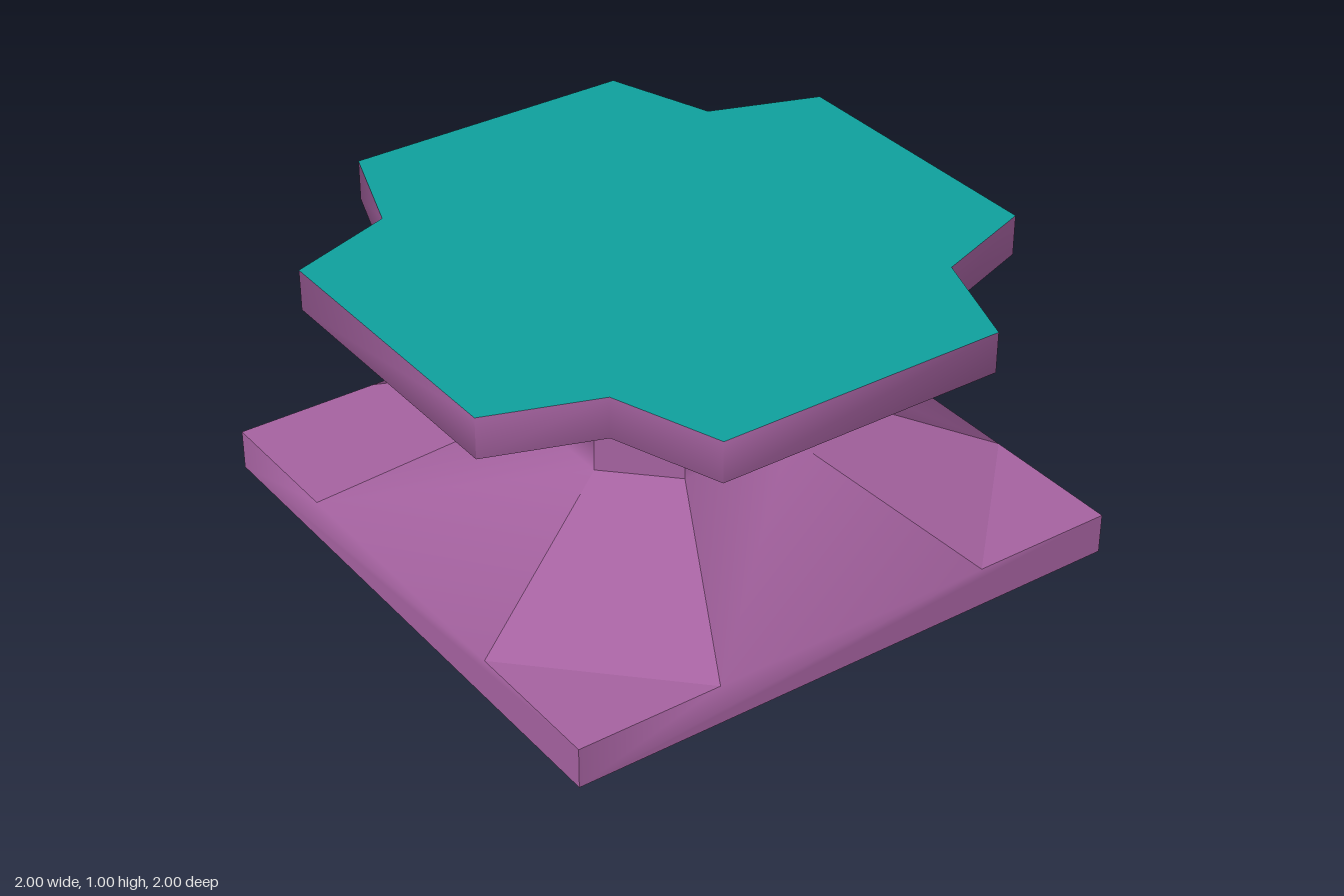
import * as THREE from 'three';
import { toCreasedNormals } from 'three/addons/utils/BufferGeometryUtils.js';

// Heights of the base rim, waist and table rim
const BASE = 0.14, WAIST_LOW = 0.42, WAIST_HIGH = 0.59, RIM = 0.86, TOP = 1;
// Half sizes: outer edge, flat part of an edge, notch corner, waist
const R = 1, H = 0.5, N = 0.63, W = 0.4, C = 0.2;

// Turns convex polygons into triangles, repeated on all four sides
function fourSided(polygons) {
  const pos = [];
  for (const poly of polygons) {
    for (let i = 1; i < poly.length - 1; i++) {
      pos.push(...poly[0], ...poly[i], ...poly[i + 1]);
    }
  }
  const all = [];
  for (let k = 0; k < 4; k++) {
    for (let i = 0; i < pos.length; i += 3) {
      let [x, y, z] = pos.slice(i, i + 3);
      for (let j = 0; j < k; j++) [x, z] = [z, -x];
      all.push(x, y, z);
    }
  }
  const g = new THREE.BufferGeometry();
  g.setAttribute('position', new THREE.Float32BufferAttribute(all, 3));
  g.computeVertexNormals();
  return g;
}

// Centred strip on the front side between two levels [half width, y, z]
const strip = ([a, y0, z0], [b, y1, z1]) => [[-a, y0, z0], [a, y0, z0], [b, y1, z1], [-b, y1, z1]];

export function createModel() {
  const group = new THREE.Group();
  const purple = new THREE.MeshStandardMaterial({ color: 0xa562a0 });
  const teal = new THREE.MeshStandardMaterial({ color: 0x0fa09c });
  const add = (name, geometry, material) => {
    const mesh = new THREE.Mesh(geometry, material);
    mesh.name = name;
    group.add(mesh);
  };

  // Base rim, sloped sides, waist and notched dish, softly shaded
  const body = fourSided([
    [[-R, 0, R], [R, 0, R], [R, BASE, R], [H, BASE, R], [-H, BASE, R], [-R, BASE, R]],
    strip([H, BASE, R], [C, WAIST_LOW, W]),
    strip([C, WAIST_LOW, W], [C, WAIST_HIGH, W]),
    strip([C, WAIST_HIGH, W], [H, RIM, R]),
    strip([H, RIM, R], [H, TOP, R]),
    // underside around the corner notch
    [[C, WAIST_HIGH, W], [N, RIM, N], [H, RIM, R]],
    [[C, WAIST_HIGH, W], [W, WAIST_HIGH, C], [N, RIM, N]],
    [[W, WAIST_HIGH, C], [R, RIM, H], [N, RIM, N]],
    // notch walls
    [[H, RIM, R], [N, RIM, N], [N, TOP, N], [H, TOP, R]],
    [[N, RIM, N], [R, RIM, H], [R, TOP, H], [N, TOP, N]],
  ]);
  add('body', toCreasedNormals(body, 1.25), purple);

  // Flat base corners, corner slopes and waist corners with sharp edges
  add('cornerFacets', fourSided([
    [[H, BASE, R], [R, BASE, R], [R, BASE, H]],
    [[H, BASE, R], [R, BASE, H], [W, WAIST_LOW, C], [C, WAIST_LOW, W]],
    [[C, WAIST_LOW, W], [W, WAIST_LOW, C], [W, WAIST_HIGH, C], [C, WAIST_HIGH, W]],
  ]), purple);

  // Underside
  const bottom = new THREE.PlaneGeometry(2 * R, 2 * R).rotateX(Math.PI / 2);
  add('bottom', bottom, purple);

  // Notched table top
  const outline = [];
  for (let k = 0; k < 4; k++) {
    for (let [x, y] of [[R, H], [N, N], [H, R]]) {
      for (let j = 0; j < k; j++) [x, y] = [-y, x];
      outline.push(new THREE.Vector2(x, y));
    }
  }
  const top = new THREE.ShapeGeometry(new THREE.Shape(outline));
  top.rotateX(-Math.PI / 2).translate(0, TOP, 0);
  add('tableTop', top, teal);

  return group;
}
